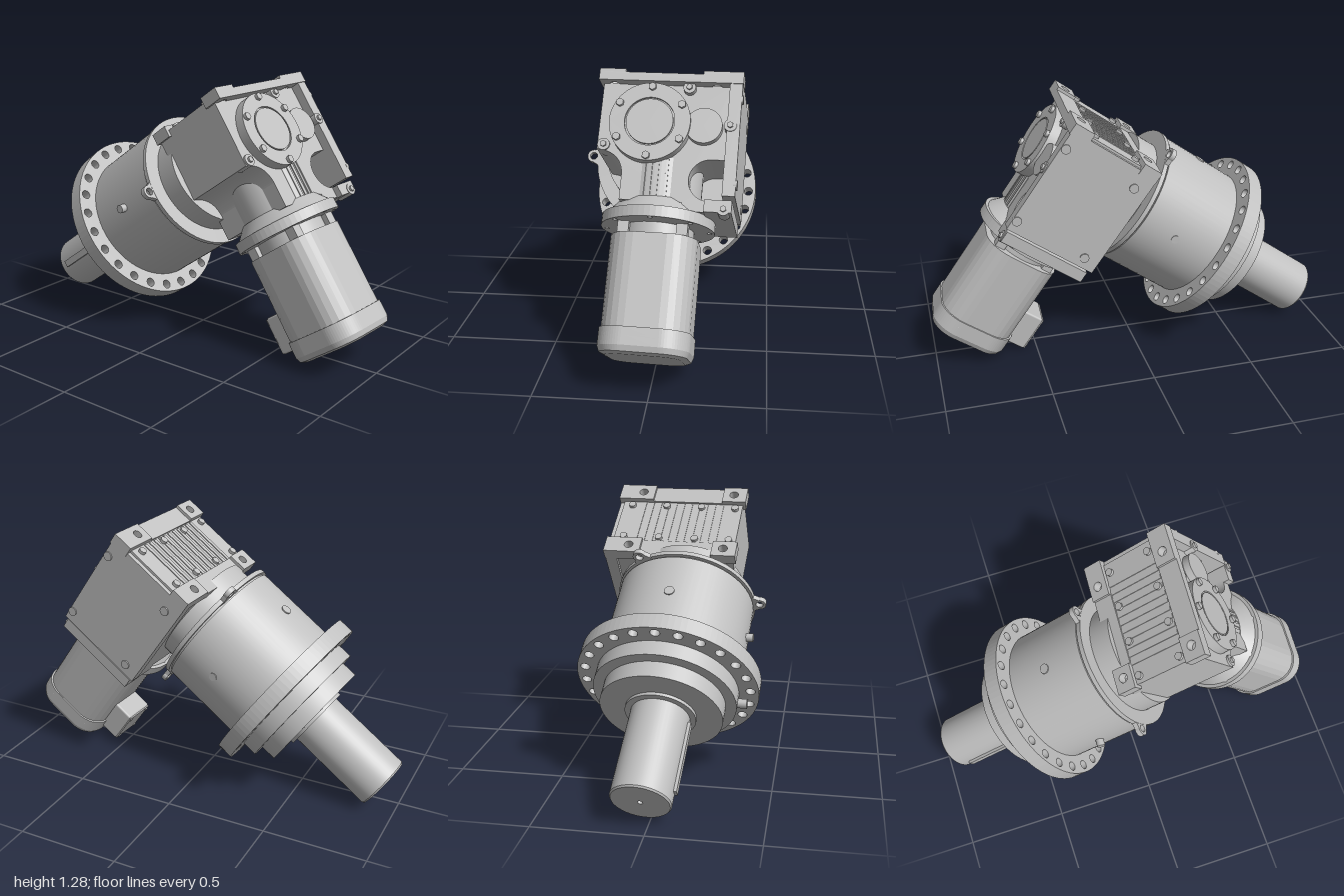
import * as THREE from 'three';
import { RoundedBoxGeometry } from 'three/addons/geometries/RoundedBoxGeometry.js';

const AXIS = 0.625; // height of the output axis in the tilted frame
const MX = 0.048, MZ = 0.76; // motor axis position

export function createModel() {
  const grey = new THREE.MeshStandardMaterial({ color: 0xc0c0c0 });
  grey.name = 'castGrey';
  const model = new THREE.Group();
  model.name = 'gearmotor';
  const unit = new THREE.Group();
  unit.name = 'tiltedUnit';
  unit.rotation.set(THREE.MathUtils.degToRad(-35), -0.06, 0, 'YXZ');
  unit.position.x = -0.024;
  model.add(unit);

  const add = (name, geo, x = 0, y = 0, z = 0) => {
    const m = new THREE.Mesh(geo, grey);
    m.name = name;
    m.position.set(x, y, z);
    unit.add(m);
    return m;
  };
  const box = (name, x0, x1, y0, y1, z0, z1) =>
    add(name, new THREE.BoxGeometry(x1 - x0, y1 - y0, z1 - z0), (x0 + x1) / 2, (y0 + y1) / 2, (z0 + z1) / 2);
  // cylinder running along one axis from a to b
  const cylZ = (name, r, a, b, x = 0, y = AXIS, seg = 64) =>
    add(name, new THREE.CylinderGeometry(r, r, b - a, seg).rotateX(Math.PI / 2), x, y, (a + b) / 2);
  const cylY = (name, r, a, b, x, z, seg = 48, rTop = r) =>
    add(name, new THREE.CylinderGeometry(rTop, r, b - a, seg), x, (a + b) / 2, z);
  const cylX = (name, r, a, b, y, z, seg = 20) =>
    add(name, new THREE.CylinderGeometry(r, r, b - a, seg).rotateZ(Math.PI / 2), (a + b) / 2, y, z);
  const circle = (r, x = 0, y = 0) => new THREE.Path().absarc(x, y, r, 0, Math.PI * 2, true);
  const disc = (r) => new THREE.Shape().absarc(0, 0, r, 0, Math.PI * 2, false);
  const polygon = (pts) => new THREE.Shape(pts.map(([x, y]) => new THREE.Vector2(x, y)));
  const extrude = (shape, depth, seg = 24) =>
    new THREE.ExtrudeGeometry(shape, { depth, bevelEnabled: false, curveSegments: seg });

  // ---- planetary stage ----
  cylZ('drum', 0.334, -0.02, 0.42);
  cylZ('drumFrontGroove', 0.325, 0.41, 0.44);
  cylZ('drumFrontRing', 0.342, 0.43, 0.452);
  cylZ('adapter', 0.27, 0.44, 0.56);

  const flange = disc(0.428);
  for (let i = 0; i < 24; i++) {
    const a = (i / 24) * Math.PI * 2;
    flange.holes.push(circle(0.022, Math.cos(a) * 0.39, Math.sin(a) * 0.39));
  }
  add('boltFlange', extrude(flange, 0.08, 48), 0, AXIS, -0.08);
  cylZ('rearStep', 0.335, -0.155, -0.07);
  cylZ('rearHub', 0.285, -0.235, -0.15);
  cylZ('shaftCollar', 0.165, -0.25, -0.23);
  const shaft = [[0, -0.22], [0.137, -0.22], [0.137, -0.682], [0.131, -0.69], [0.012, -0.69], [0.012, -0.67], [0, -0.67]]
    .map(([r, z]) => new THREE.Vector2(r, -z));
  // each straight run gets its own surface so edges stay sharp
  for (let i = 0; i + 1 < shaft.length; i++) {
    add('outputShaft', new THREE.LatheGeometry([shaft[i], shaft[i + 1]], 48).rotateX(-Math.PI / 2), 0, AXIS, 0);
  }
  box('shaftKey', -0.15, -0.11, AXIS - 0.018, AXIS + 0.018, -0.63, -0.28);

  // lifting eyes on the front ring
  for (let i = 0; i < 3; i++) {
    const eye = new THREE.Shape();
    eye.moveTo(0.3, -0.065);
    eye.lineTo(0.365, -0.03);
    eye.absarc(0.365, 0, 0.032, -Math.PI / 2, Math.PI / 2, false);
    eye.lineTo(0.3, 0.065);
    eye.holes.push(circle(0.018, 0.365, 0));
    add('liftingEye', extrude(eye, 0.024), 0, AXIS, 0.427).rotation.z = Math.PI / 3 + (i * Math.PI * 2) / 3 - 0.03;
  }
  // drain and fill plugs
  cylX('sidePlug', 0.02, -0.365, -0.31, AXIS + 0.025, 0.21);
  cylX('sidePlug', 0.02, 0.31, 0.337, AXIS, 0.23);
  cylY('topPlug', 0.024, 0.94, 0.964, 0, 0.21, 20);
  cylX('rearPlug', 0.022, -0.375, -0.3, AXIS - 0.05, -0.115);

  // ---- right-angle gearbox ----
  // case outline; the front layer has a D-shaped pocket under the side lobe
  const caseOutline = () => {
    const s = new THREE.Shape();
    s.moveTo(0.355, 0.83);
    s.lineTo(-0.235, 0.83);
    s.lineTo(-0.235, 0.51);
    s.quadraticCurveTo(-0.12, 0.5, -0.11, 0.4);
    s.lineTo(-0.11, 0.28);
    s.lineTo(0.17, 0.28);
    s.lineTo(0.17, 0.24);
    s.lineTo(0.355, 0.24);
    return s;
  };
  add('gearCaseRear', extrude(caseOutline(), 0.13), 0, 0, 0.53);
  const front = caseOutline();
  front.lineTo(0.355, 0.29);
  front.lineTo(0.285, 0.29);
  front.absarc(0.285, 0.385, 0.095, -Math.PI / 2, Math.PI / 2, true);
  front.lineTo(0.355, 0.48);
  add('gearCaseFront', extrude(front, 0.275), 0, 0, 0.66);
  box('lowerRightLug', 0.27, 0.39, 0.235, 0.29, 0.53, 0.965);
  box('sideCover', 0.345, 0.402, 0.305, 0.845, 0.515, 0.98);
  for (const [y, z] of [[0.757, 0.958], [0.757, 0.587], [0.36, 0.96], [0.355, 0.59]]) {
    cylX('sideCoverBolt', 0.022, 0.39, 0.408, y, z);
  }

  // mounting feet with holes, front and back of the top
  for (const [z0, z1] of [[0.515, 0.61], [0.885, 0.985]]) {
    const w = (z1 - z0) / 2;
    const plate = (x0, x1, holes) => {
      const s = polygon([[x0, -w], [x1, -w], [x1, w], [x0, w]]);
      holes.forEach((x) => s.holes.push(circle(0.022, x, 0)));
      return s;
    };
    const layer = (name, shape, depth, y) =>
      add(name, extrude(shape, depth).rotateX(-Math.PI / 2), 0, y, (z0 + z1) / 2);
    layer('mountingFoot', plate(-0.25, 0.405, [-0.185, 0.285]), 0.04, 0.825);
    layer('footPad', plate(-0.25, -0.13, [-0.185]), 0.016, 0.864);
    layer('footPad', plate(0.225, 0.405, [0.285]), 0.016, 0.864);
  }
  // ribbed top cover with screws
  box('topCover', -0.235, 0.38, 0.82, 0.856, 0.6, 0.89);
  for (let i = 0; i < 11; i++) box('topRib', -0.14 + i * 0.04, -0.12 + i * 0.04, 0.854, 0.86, 0.61, 0.88);
  for (const z of [0.635, 0.855]) {
    for (const x of [-0.2, -0.03, 0.15, 0.33]) cylY('topScrew', 0.018, 0.85, 0.871, x, z, 12);
  }

  // round bearing covers
  const coverY = AXIS + 0.008;
  cylZ('bearingCover', 0.183, 0.9, 0.972, 0, coverY);
  const rim = disc(0.183);
  rim.holes.push(circle(0.113));
  add('bearingCoverRim', extrude(rim, 0.013, 32), 0, coverY, 0.97);
  cylZ('bearingCoverCap', 0.106, 0.96, 0.983, 0, coverY);
  for (let i = 0; i < 6; i++) {
    const a = Math.PI / 2 + (i * Math.PI) / 3;
    cylZ('coverBolt', 0.018, 0.975, 0.998, Math.cos(a) * 0.162, coverY + Math.sin(a) * 0.162, 6);
  }
  cylZ('sideLobe', 0.082, 0.9, 0.97, 0.242, 0.627, 40);
  for (const [x, y, z] of [[0.163, 0.808, 0.965], [0.36, 0.627, 0.985], [-0.205, 0.53, 0.945], [0.355, 0.25, 0.968]]) {
    cylZ('cornerBoss', 0.028, z - 0.08, z, x, y, 24);
    cylZ('cornerBolt', 0.014, z, z + 0.01, x, y, 6);
  }

  // ribbed neck down to the motor flange
  cylY('neck', 0.185, 0.23, 0.49, MX, MZ);
  for (let i = -5; i <= 5; i++) {
    const a = i * 0.16;
    const rib = box('neckRib', -0.009, 0.009, 0.24, 0.48, -0.004, 0.004);
    rib.position.x = MX + Math.sin(a) * 0.185;
    rib.position.z = MZ + Math.cos(a) * 0.185;
    rib.rotation.y = a;
  }
  cylY('neckFlare', 0.245, 0.235, 0.3, MX, MZ, 48, 0.19);

  // ---- motor ----
  const mFlange = disc(0.257);
  for (let i = 0; i < 8; i++) {
    const a = (i * Math.PI) / 4;
    mFlange.holes.push(circle(0.011, Math.cos(a) * 0.235, Math.sin(a) * 0.235));
  }
  add('motorFlange', extrude(mFlange, 0.05, 32).rotateX(-Math.PI / 2), MX, 0.19, MZ);
  cylY('motorSpigot', 0.165, 0.11, 0.2, MX, MZ);
  for (const sx of [-1, 1]) {
    for (const sz of [-1, 1]) {
      const x = MX + sx * 0.13, z = MZ + sz * 0.13;
      box('motorTab', x - 0.025, x + 0.025, 0.11, 0.192, z - 0.025, z + 0.025);
    }
  }

  // rounded-square section, with flats between wide corner arcs
  const section = (h, r) => {
    const s = new THREE.Shape();
    [[1, 1, 0], [-1, 1, 1], [-1, -1, 2], [1, -1, 3]].forEach(([sx, sy, q]) =>
      s.absarc(sx * (h - r), sy * (h - r), r, (q * Math.PI) / 2, ((q + 1) * Math.PI) / 2, false));
    return s;
  };
  const prism = (name, h, r, y0, y1, seg) =>
    add(name, extrude(section(h, r), y1 - y0, seg).rotateX(-Math.PI / 2), MX, y0, MZ);
  prism('motorBody', 0.194, 0.12, -0.28, 0.135, 3);
  const cap = new THREE.ExtrudeGeometry(section(0.165, 0.085), {
    depth: 0.045, bevelEnabled: true, bevelThickness: 0.035, bevelSize: 0.036, bevelSegments: 2, curveSegments: 8,
  });
  add('motorEndCap', cap.rotateX(-Math.PI / 2), MX, -0.353, MZ);
  prism('motorCapSkirt', 0.201, 0.121, -0.32, -0.275, 8);

  // terminal box on the rear of the motor
  add('terminalBox', new RoundedBoxGeometry(0.18, 0.19, 0.12, 2, 0.01), MX, -0.226, 0.522);
  box('terminalLid', MX - 0.085, MX + 0.085, -0.316, -0.136, 0.457, 0.466);
  for (const sx of [-1, 1]) {
    for (const y of [-0.299, -0.154]) cylZ('lidScrew', 0.009, 0.452, 0.46, MX + sx * 0.07, y, 10);
  }
  return model;
}
